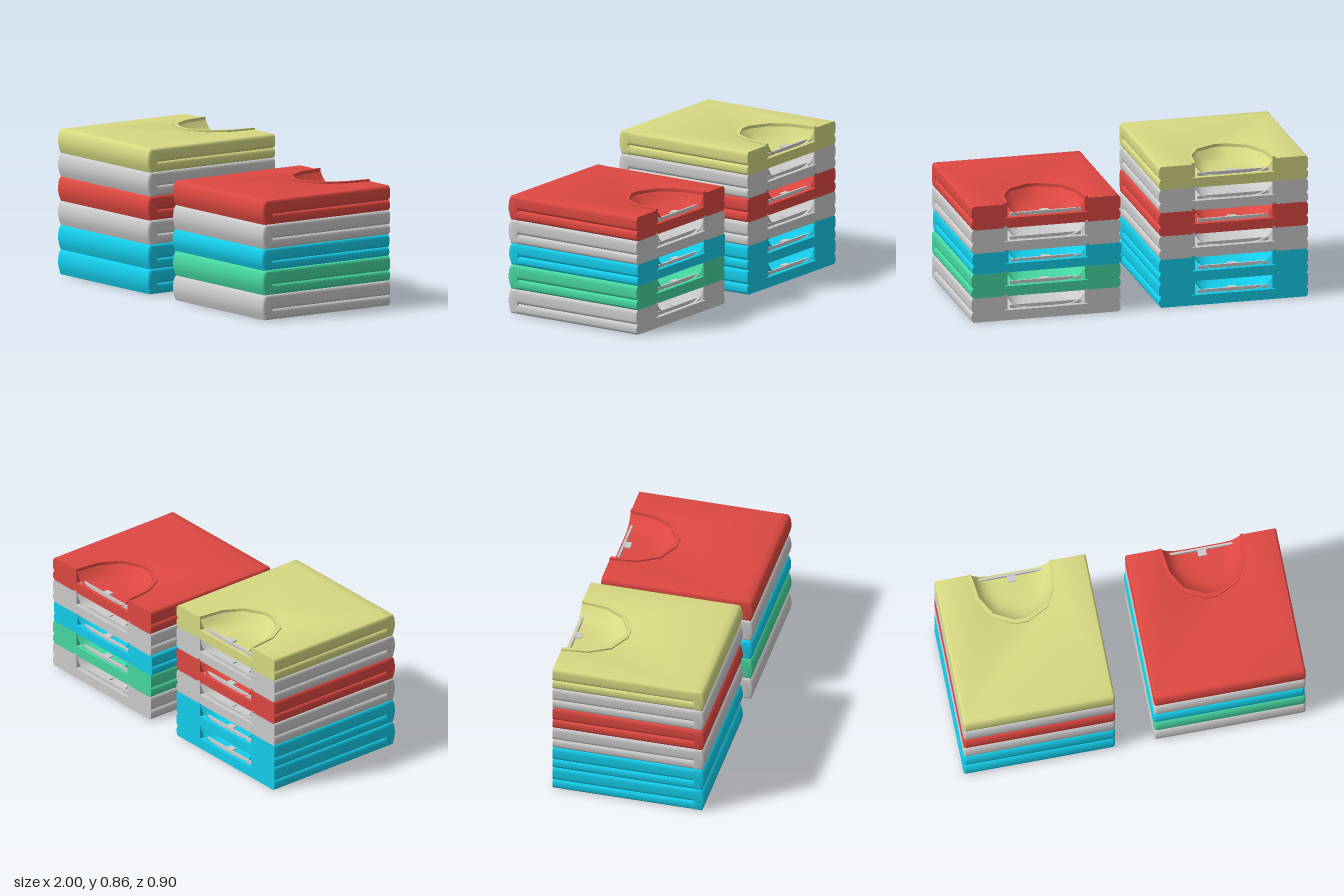
import * as THREE from 'three';
import { toCreasedNormals } from 'three/addons/utils/BufferGeometryUtils.js';

const HALF_W = 0.4425, BACK = -0.45, HEIGHT = 0.145, BEVEL = 0.015;
const GREY = 0xcccccc, CYAN = 0x14cdeb, GREEN = 0x46d7a0, RED = 0xde4842, YELLOW = 0xd7d982;

// Half outlines of the neckline as [x, z], from the back edge to the middle of the front
const NECK_OUTER = [[0.25, BACK], [0.232, -0.29], [0.165, -0.17], [0.04, -0.106]];
const NECK_INNER = [[0.23, BACK], [0.211, -0.3], [0.148, -0.19], [0.034, -0.13]];
const mirrored = half => [...half, ...half.map(([x, z]) => [-x, z]).reverse()];

// Shape on the ground plane, raised from y0 to y1
function raise(points, y0, y1, bevel = 0) {
  const shape = new THREE.Shape(points.map(([x, z]) => new THREE.Vector2(x, -z)));
  const t = bevel ? 0.024 : 0;
  const geo = new THREE.ExtrudeGeometry(shape, {
    depth: y1 - y0 - 2 * t, bevelEnabled: bevel > 0, bevelSize: bevel,
    bevelThickness: t, bevelOffset: 0, bevelSegments: 4,
  });
  geo.rotateX(-Math.PI / 2).translate(0, y0 + t, 0);
  // Keep the back edge flat
  const p = geo.attributes.position;
  for (let i = 0; i < p.count; i++) p.setZ(i, Math.max(p.getZ(i), BACK));
  return toCreasedNormals(geo, 0.6);
}

// Folded front edge, a bulging profile running across the width
function frontFoldGeometry() {
  const profile = [[0.38, 0], [0.435, 0], [0.446, 0.03], [0.453, 0.06], [0.453, 0.085],
    [0.448, 0.12], [0.437, 0.141], [0.43, HEIGHT], [0.38, HEIGHT]];
  const shape = new THREE.Shape(profile.map(([z, y]) => new THREE.Vector2(-z, y)));
  const geo = new THREE.ExtrudeGeometry(shape, {
    depth: 2 * (HALF_W - BEVEL), bevelSize: BEVEL, bevelThickness: BEVEL,
    bevelOffset: -BEVEL, bevelSegments: 4,
  });
  geo.rotateY(Math.PI / 2).translate(-HALF_W + BEVEL, 0, 0);
  return toCreasedNormals(geo, 0.6);
}

// Bowl inside the neck: rings shrinking from the collar to the middle of the back edge
function neckBowlGeometry() {
  const rim = mirrored(NECK_INNER), rings = 10, n = rim.length, pos = [], index = [];
  for (let r = 0; r <= rings; r++) {
    const t = r / rings;
    for (const [x, z] of rim) pos.push(x * t, 0.066 + 0.07 * t ** 6, BACK + (z - BACK) * t);
  }
  for (let r = 0; r < rings; r++) {
    for (let i = 0; i < n - 1; i++) {
      const a = r * n + i, b = a + n;
      index.push(a, a + 1, b, b, a + 1, b + 1);
    }
  }
  const geo = new THREE.BufferGeometry();
  geo.setAttribute('position', new THREE.Float32BufferAttribute(pos, 3));
  geo.setIndex(index);
  geo.computeVertexNormals();
  return geo;
}

function shirtParts() {
  const w = HALF_W - BEVEL, back = BACK - BEVEL, front = 0.4;
  const neck = mirrored(NECK_OUTER);
  neck[0] = [0.25, back];
  neck[neck.length - 1] = [-0.25, back];
  const lower = [[-w, front], [w, front], [w, back], [-w, back]];
  const upper = [[-w, front], [w, front], [w, back], ...neck, [-w, back]];
  const collar = [...mirrored(NECK_OUTER), ...mirrored(NECK_INNER).reverse()];
  return {
    lowerLayer: raise(lower, 0, 0.06, BEVEL),
    upperLayer: raise(upper, 0.06, HEIGHT, BEVEL),
    frontFold: frontFoldGeometry(),
    collar: raise(collar, 0.065, HEIGHT + 0.01),
    neckBowl: neckBowlGeometry(),
  };
}

export function createModel() {
  const model = new THREE.Group();
  model.name = 'foldedShirtStacks';
  const parts = shirtParts();
  const seam = new THREE.BoxGeometry(0.42, 0.02, 0.012).translate(0, 0.076, -0.43);
  const tag = new THREE.BoxGeometry(0.05, 0.008, 0.045).translate(0, 0.079, -0.41);
  const greyMat = new THREE.MeshStandardMaterial({ color: GREY });

  function add(group, name, geometry, material) {
    const mesh = new THREE.Mesh(geometry, material);
    mesh.name = name;
    group.add(mesh);
  }

  function foldedShirt(color) {
    const shirt = new THREE.Group();
    shirt.name = 'foldedShirt';
    const mat = new THREE.MeshStandardMaterial({ color });
    const thin = new THREE.MeshStandardMaterial({ color, side: THREE.DoubleSide });
    for (const [name, geo] of Object.entries(parts)) add(shirt, name, geo, name === 'neckBowl' ? thin : mat);
    add(shirt, 'neckSeam', seam, greyMat);
    add(shirt, 'neckTag', tag, greyMat);
    return shirt;
  }

  // Each shirt sits on the one below: [colour, top height, sideways shift]
  function stack(name, x, shirts) {
    const group = new THREE.Group();
    group.name = name;
    group.position.x = x;
    let base = 0;
    for (const [color, top, shift = 0] of shirts) {
      const shirt = foldedShirt(color);
      shirt.position.set(shift, base, 0);
      shirt.scale.y = (top - base) / HEIGHT;
      group.add(shirt);
      base = top;
    }
    model.add(group);
  }

  stack('rightStack', -0.5575, [[CYAN, 0.145], [CYAN, 0.288], [GREY, 0.429],
    [RED, 0.57], [GREY, 0.708], [YELLOW, 0.847]]);
  stack('leftStack', 0.5575, [[GREY, 0.145], [GREEN, 0.288], [CYAN, 0.414, -0.006],
    [GREY, 0.555], [RED, 0.698]]);
  return model;
}
